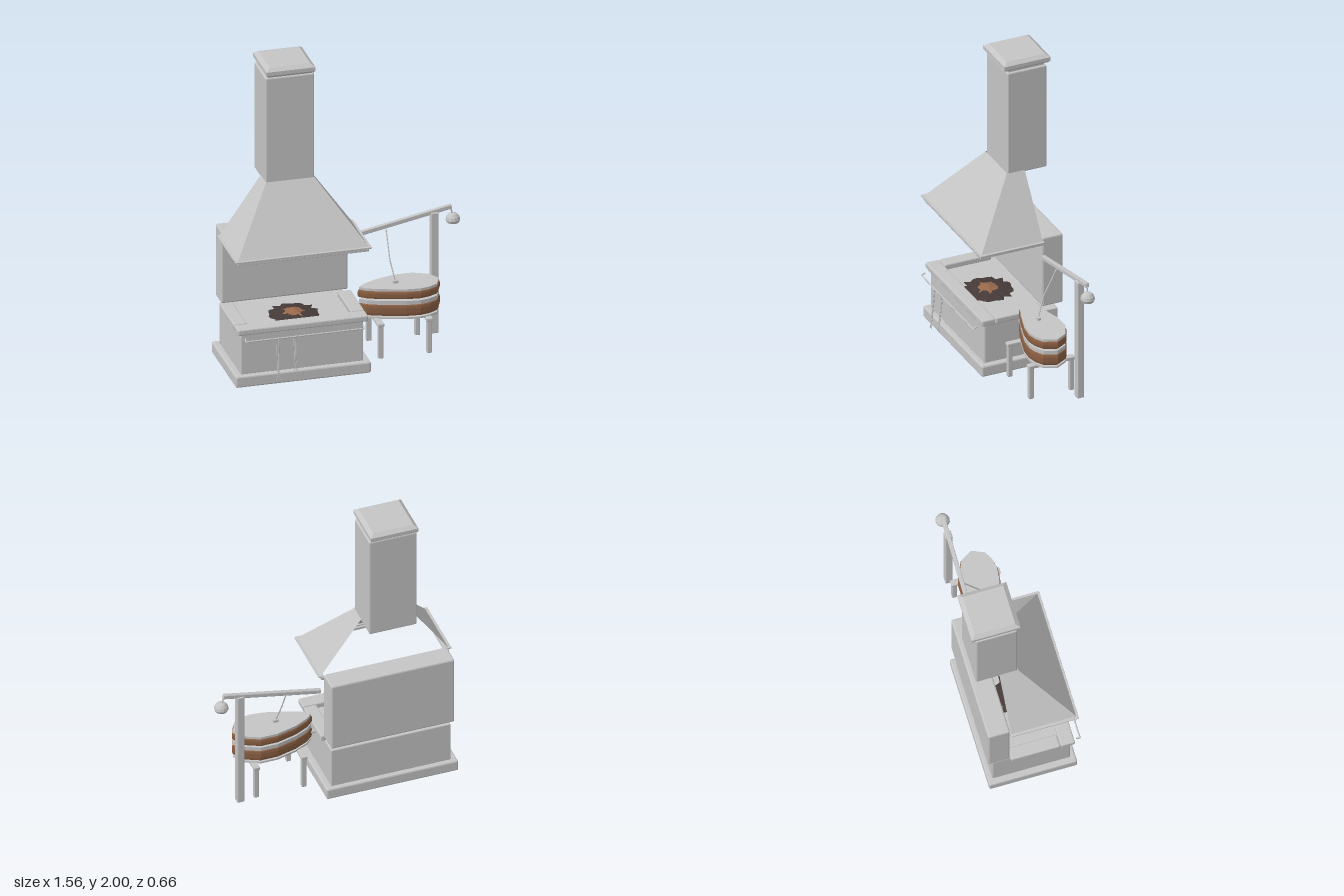
import * as THREE from 'three';
import { RoundedBoxGeometry } from 'three/addons/geometries/RoundedBoxGeometry.js';

export function createModel() {
  const model = new THREE.Group();
  const flat = { flatShading: true, side: THREE.DoubleSide };
  const stone = new THREE.MeshStandardMaterial({ name: 'grey', color: 0xc4c4c4, ...flat });
  const leather = new THREE.MeshStandardMaterial({ name: 'leather brown', color: 0x8a5f43, ...flat });
  const coal = new THREE.MeshStandardMaterial({ name: 'coal black', color: 0x453a38, ...flat });
  const ember = new THREE.MeshStandardMaterial({ name: 'ember brown', color: 0x98694a, ...flat });

  const add = (name, geometry, material = stone, x = 0, y = 0, z = 0) => {
    const mesh = new THREE.Mesh(geometry, material);
    mesh.name = name;
    mesh.position.set(x, y, z);
    model.add(mesh);
    return mesh;
  };
  // chamfered box given by its extents
  const box = (name, x0, x1, y0, y1, z0, z1, r = 0.006) => {
    const w = x1 - x0, h = y1 - y0, d = z1 - z0;
    const radius = Math.min(r, w / 3, h / 3, d / 3);
    return add(name, new RoundedBoxGeometry(w, h, d, 1, radius), stone,
      (x0 + x1) / 2, (y0 + y1) / 2, (z0 + z1) / 2);
  };
  // straight-segment rod through points
  const rod = (name, points, radius) => {
    const path = new THREE.CurvePath();
    const v = points.map((p) => new THREE.Vector3(...p));
    for (let i = 1; i < v.length; i++) path.add(new THREE.LineCurve3(v[i - 1], v[i]));
    return add(name, new THREE.TubeGeometry(path, 16, radius, 6), stone);
  };
  // stack of rectangles [x0, x1, z0, z1, y], joined side by side
  const rectLoft = (rings, sides, capped) => {
    const pos = [], index = [];
    for (const [x0, x1, z0, z1, y] of rings) pos.push(x0, y, z1, x1, y, z1, x1, y, z0, x0, y, z0);
    for (let k = 0; k + 1 < rings.length; k++) {
      for (const s of sides) {
        const a = k * 4 + s, b = k * 4 + (s + 1) % 4;
        index.push(a, b, b + 4, a, b + 4, a + 4);
      }
    }
    if (capped) {
      const t = (rings.length - 1) * 4;
      index.push(0, 2, 1, 0, 3, 2, t, t + 1, t + 2, t, t + 2, t + 3);
    }
    const g = new THREE.BufferGeometry();
    g.setAttribute('position', new THREE.Float32BufferAttribute(pos, 3));
    g.setIndex(index);
    g.computeVertexNormals();
    return g;
  };

  // hearth
  box('plinth', -0.775, 0.09, 0, 0.075, -0.3, 0.265, 0.01);
  box('hearthBody', -0.735, 0.05, 0.07, 0.35, -0.27, 0.23);
  box('frontRim', -0.76, 0.075, 0.345, 0.385, 0.165, 0.255, 0.008);
  box('rightRim', -0.76, -0.675, 0.345, 0.385, -0.155, 0.16, 0.008);
  box('leftRim', -0.01, 0.075, 0.345, 0.385, -0.155, 0.16, 0.008);
  box('backWall', -0.75, 0.06, 0.385, 0.868, -0.3, -0.16, 0.01);

  // coal bed: low jagged mounds
  const mound = (name, radius, y0, y1, material, n) => {
    const g = new THREE.ConeGeometry(radius, y1 - y0, n, 2);
    const p = g.attributes.position;
    for (let i = 0; i < p.count; i++) {
      const a = Math.round(Math.atan2(p.getX(i), p.getZ(i)) * n / (2 * Math.PI) + n) % n;
      const f = 0.92 + 0.08 * Math.sin(a * 2.4) + (a % 2 ? 0.04 : -0.04);
      p.setXYZ(i, p.getX(i) * f, p.getY(i), p.getZ(i) * f);
    }
    return add(name, g, material, -0.34, (y0 + y1) / 2, 0.025);
  };
  mound('coalBed', 0.175, 0.349, 0.38, coal, 32);
  mound('embers', 0.085, 0.362, 0.392, ember, 14);

  // hood, open at the back, with its lip
  add('hood', rectLoft([
    [-0.765, 0.08, -0.155, 0.265, 0.85],
    [-0.5, -0.19, -0.155, -0.035, 1.23],
  ], [0, 1, 3], false));
  for (const [name, grow, y0, y1] of [['hoodFlange', 0, 0.845, 0.855], ['hoodLip', 0.017, 0.825, 0.843]]) {
    const l = -0.78 + grow, r = 0.092 - grow, f = 0.275 - grow / 2;
    box(name + 'Front', l, r, y0, y1, f - 0.025, f, 0.002);
    box(name + 'Right', l, l + 0.025, y0, y1, -0.16, f - 0.025, 0.002);
    box(name + 'Left', r - 0.025, r, y0, y1, -0.16, f - 0.025, 0.002);
  }

  // chimney and cap
  box('chimney', -0.5, -0.188, 1.215, 1.93, -0.305, -0.04, 0.008);
  box('chimneyNeck', -0.485, -0.203, 1.92, 1.955, -0.295, -0.05, 0.002);
  add('chimneyCap', rectLoft([
    [-0.485, -0.203, -0.315, -0.03, 1.94],
    [-0.5, -0.188, -0.332, -0.018, 1.955],
    [-0.5, -0.188, -0.332, -0.018, 1.98],
    [-0.475, -0.213, -0.305, -0.045, 2.0],
  ], [0, 1, 2, 3], true));

  // tool rail with hanging tongs
  rod('toolRail', [[-0.72, 0.322, 0.298], [0.035, 0.322, 0.298]], 0.005);
  for (const x of [-0.72, 0.035]) rod('railBracket', [[x, 0.335, 0.275], [x, 0.322, 0.298]], 0.005);
  for (const [x, y] of [[-0.52, 0.055], [-0.41, 0.09]]) {
    for (const s of [-1, 1]) {
      rod('tongs', [
        [x + s * 0.006, 0.318, 0.304], [x + s * 0.005, y + 0.06, 0.323],
        [x - s * 0.003, y + 0.04, 0.325], [x - s * 0.012, y, 0.328],
      ], 0.003);
    }
  }

  // bellows: tear-shaped boards and leather folds
  const outline = [[0.088, -0.01], [0.13, -0.05], [0.22, -0.095], [0.35, -0.13], [0.46, -0.13],
    [0.555, -0.085], [0.6, -0.01], [0.565, 0.07], [0.51, 0.1], [0.45, 0.112], [0.36, 0.103],
    [0.2, 0.055], [0.13, 0.025]];
  const tear = new THREE.Shape(outline.map(([x, z]) => new THREE.Vector2(x, -z)));
  const layer = (name, y0, y1, material, bulge) => {
    const b = bulge ? (y1 - y0) * 0.3 : 0;
    const g = new THREE.ExtrudeGeometry(tear, {
      depth: y1 - y0 - 2 * b, bevelEnabled: bulge, bevelThickness: b,
      bevelSize: 0.011, bevelOffset: -0.005, bevelSegments: 2,
    });
    g.rotateX(-Math.PI / 2);
    return add(name, g, material, 0, y0 + b, 0);
  };
  layer('bottomBoard', 0.26, 0.272, stone, false);
  layer('lowerLeather', 0.28, 0.357, leather, true);
  layer('middleBoard', 0.356, 0.382, stone, false);
  layer('upperLeather', 0.393, 0.447, leather, true);
  layer('topBoard', 0.446, 0.462, stone, false);
  add('nozzle', new THREE.CylinderGeometry(0.01, 0.014, 0.06, 8), stone, 0.075, 0.32, -0.01)
    .rotation.z = Math.PI / 2;

  // bellows stand
  for (const x of [0.188, 0.5]) {
    box('standRail', x - 0.02, x + 0.02, 0.243, 0.265, -0.17, 0.145, 0.004);
    for (const z of [-0.15, 0.125]) box('standLeg', x - 0.016, x + 0.016, 0.03, 0.25, z - 0.015, z + 0.015, 0.004);
  }

  // post, lever, pull rod and counterweight
  box('post', 0.585, 0.633, 0.03, 0.845, -0.178, -0.132);
  box('lever', 0.074, 0.726, 0.793, 0.821, -0.17, -0.144, 0.004).rotation.z = 0.193;
  rod('pullRod', [[0.298, 0.785, -0.15], [0.298, 0.6, -0.055], [0.32, 0.475, -0.01]], 0.004);
  box('pullRodBlock', 0.305, 0.338, 0.46, 0.48, -0.02, 0, 0.003);
  rod('weightHook', [[0.715, 0.86, -0.156], [0.728, 0.815, -0.156]], 0.005);
  const dome = [[0, -0.018], [0.038, -0.018], [0.046, 0], [0.041, 0.02], [0.026, 0.038], [0, 0.046]];
  add('counterweight', new THREE.LatheGeometry(dome.map((p) => new THREE.Vector2(...p)), 12),
    stone, 0.73, 0.78, -0.155);

  return model;
}
